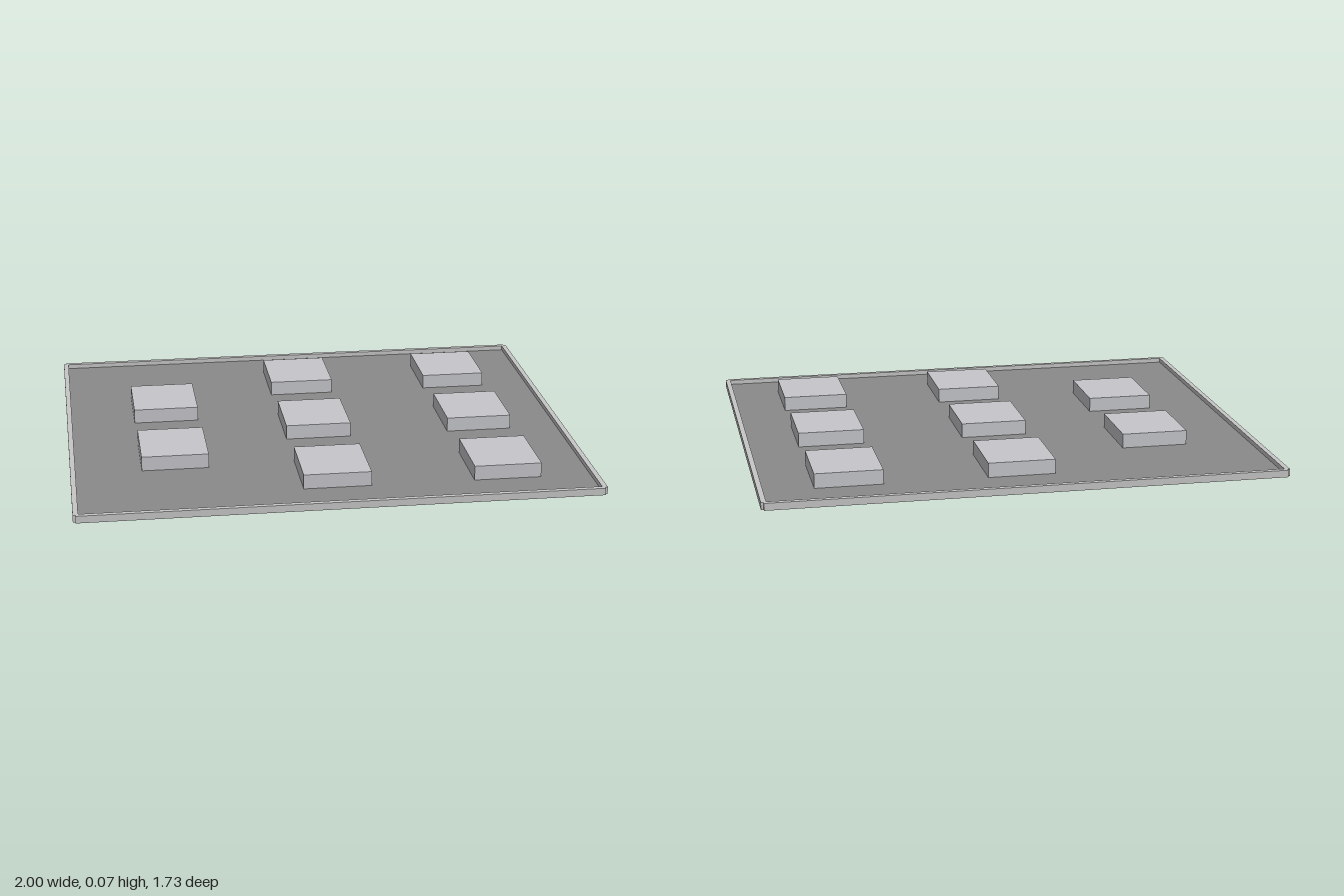
import * as THREE from 'three';

export function createModel() {
  const model = new THREE.Group();
  model.name = 'trayWithBlocks';

  const material = (name, color) => {
    const m = new THREE.MeshStandardMaterial({ color });
    m.name = name;
    return m;
  };
  const darkGrey = material('darkGrey', 0x8a8a8a);
  darkGrey.side = THREE.DoubleSide;
  const silver = material('silver', 0xc6c7cb);
  const rimGrey = material('rimGrey', 0xc6c6c6);

  const addBox = (name, mat, size, position) => {
    const mesh = new THREE.Mesh(new THREE.BoxGeometry(...size), mat);
    mesh.position.set(...position);
    mesh.name = name;
    model.add(mesh);
  };

  // Thin floor sheet
  const floor = new THREE.Mesh(new THREE.PlaneGeometry(1.98, 1.71), darkGrey);
  floor.rotation.x = -Math.PI / 2;
  floor.position.y = 0.01;
  floor.name = 'floor';
  model.add(floor);

  // Raised rim, with small notches at the corners
  for (const s of [-1, 1]) {
    addBox(s < 0 ? 'rightRim' : 'leftRim', rimGrey, [0.02, 0.028, 1.71], [s * 0.99, 0.014, 0]);
    addBox(s < 0 ? 'backRim' : 'frontRim', rimGrey, [1.98, 0.028, 0.02], [0, 0.014, s * 0.856]);
  }

  // Blocks in three columns: two, three and three
  const columns = [
    [-0.595, [-0.265, 0.265]],
    [0, [-0.53, 0, 0.53]],
    [0.657, [-0.53, 0, 0.53]],
  ];
  for (const [x, rows] of columns) {
    for (const z of rows) {
      // The middle block reaches just below the floor sheet
      const bottom = x === 0 && z === 0 ? 0.008 : 0.0105;
      addBox('block', silver, [0.26, 0.067 - bottom, 0.296], [x, (0.067 + bottom) / 2, z]);
    }
  }
  return model;
}
